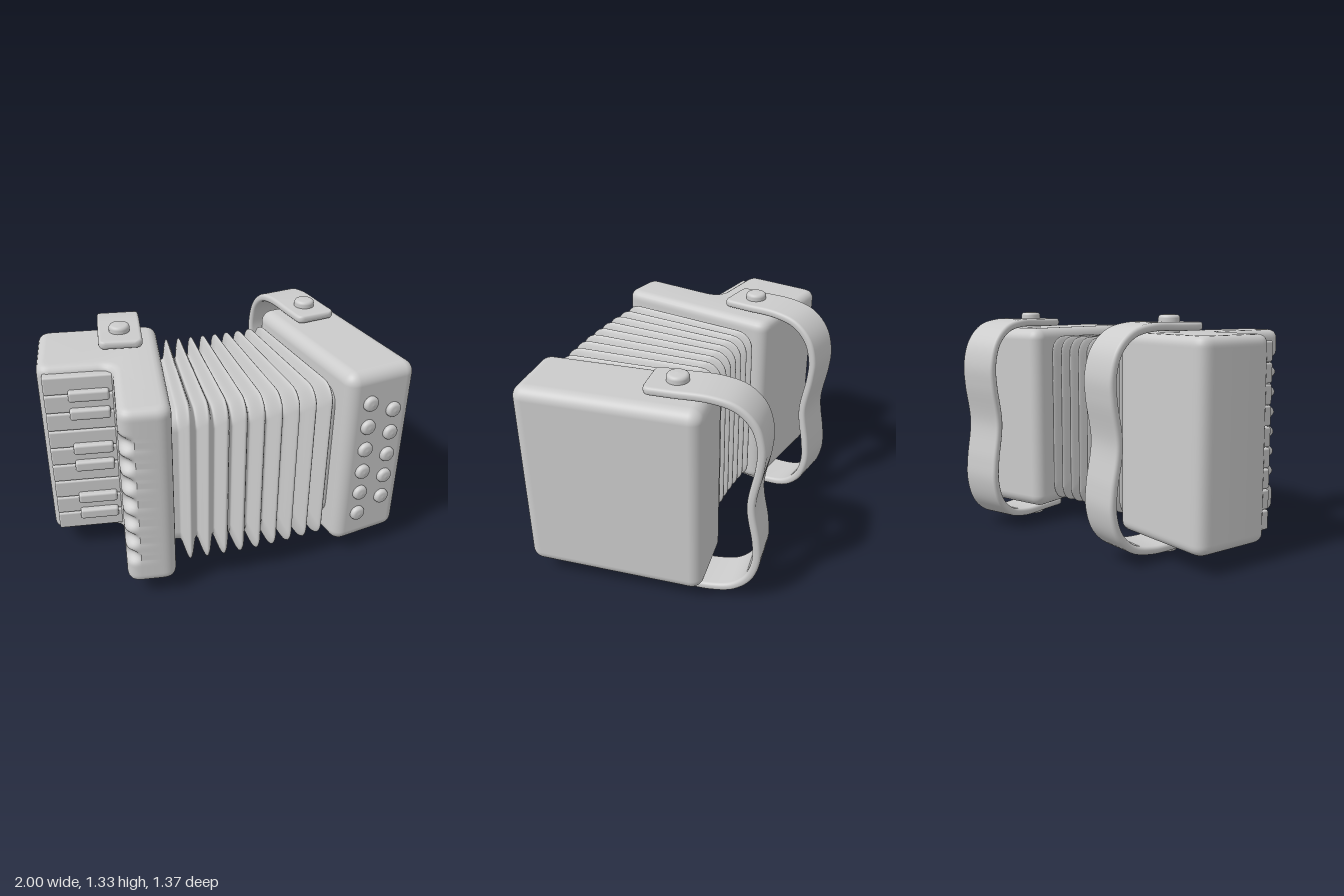
import * as THREE from 'three';
import { toCreasedNormals } from 'three/addons/utils/BufferGeometryUtils.js';
import { RoundedBoxGeometry } from 'three/addons/geometries/RoundedBoxGeometry.js';

const MID_Y = 0.667;
const material = new THREE.MeshStandardMaterial({ color: 0xcccccc });

function add(parent, name, geometry, x = 0, y = 0, z = 0) {
  const mesh = new THREE.Mesh(geometry, material);
  mesh.name = name;
  mesh.position.set(x, y, z);
  parent.add(mesh);
  return mesh;
}

function addGroup(parent, name, x, z, turn) {
  const group = new THREE.Group();
  group.name = name;
  group.position.set(x, 0, z);
  group.rotation.y = turn;
  parent.add(group);
  return group;
}

// Counter-clockwise rounded rectangle as [u, v] pairs
function roundedRect(hu, hv, radius, steps = 6) {
  const r = Math.min(radius, hu, hv), points = [];
  const corners = [[1, 1], [-1, 1], [-1, -1], [1, -1]];
  corners.forEach(([su, sv], k) => {
    for (let i = 0; i <= steps; i++) {
      const a = (k + i / steps) * Math.PI / 2;
      points.push([su * (hu - r) + r * Math.cos(a), sv * (hv - r) + r * Math.sin(a)]);
    }
  });
  return points;
}

// Skin over closed rings of equal length
function loft(rings) {
  const n = rings[0].length, index = [];
  for (let i = 0; i < rings.length - 1; i++) {
    for (let j = 0; j < n; j++) {
      const a = i * n + j, b = i * n + (j + 1) % n;
      index.push(a, b, a + n, b, b + n, a + n);
    }
  }
  const geometry = new THREE.BufferGeometry().setFromPoints(rings.flat());
  geometry.setIndex(index);
  geometry.computeVertexNormals();
  return geometry;
}

// Pleated bellows, fanned around a far point behind the instrument
function bellowsGeometry() {
  const pitch = 0.0294, rings = [];
  for (let k = -5.3; k <= 5.301; k += 0.05) {
    const phi = k * pitch;
    const drop = Math.abs(k) > 4.5 ? 0.085 : 0.0425 * (1 - Math.cos(2 * Math.PI * k));
    rings.push(roundedRect(0.52 - drop, 0.455 - drop, 0.1).map(([u, v]) => {
      const r = 2.935 + v;
      return new THREE.Vector3(0.08 + r * Math.sin(phi), MID_Y + u, -2.73 + r * Math.cos(phi));
    }));
  }
  return loft(rings);
}

// Hand strap: rounded band swept over the back of a case
function strapGeometry() {
  const half = [[0.155, 1.267], [0, 1.267], [-0.2, 1.267], [-0.33, 1.235],
    [-0.42, 1.15], [-0.46, 1.02], [-0.455, 0.9]];
  const path = [...half, [-0.42, MID_Y], ...half.map(([z, y]) => [z, 2 * MID_Y - y]).reverse()];
  const curve = new THREE.CatmullRomCurve3(path.map(([z, y]) => new THREE.Vector3(0, y, z)));
  curve.arcLengthDivisions = 600;
  const length = curve.getLength(), xAxis = new THREE.Vector3(1, 0, 0);
  const ends = [0, 0.003, 0.008, 0.015, 0.025, 0.04];
  const stops = [...ends];
  for (let i = 1; i < 90; i++) stops.push(0.04 + (length - 0.08) * i / 90);
  stops.push(...ends.map(e => length - e).reverse());
  const inset = (e, r) => e < r ? r - Math.sqrt(r * r - (r - e) ** 2) : 0;
  const ring = (s, hu, hv) => {
    const t = Math.min(1, Math.max(0, s / length));
    const p = curve.getPointAt(t);
    const normal = curve.getTangentAt(t).cross(xAxis);
    return roundedRect(hu, hv, 0.018, 4).map(([u, v]) =>
      p.clone().addScaledVector(xAxis, u).addScaledVector(normal, v));
  };
  const rings = stops.map(s => {
    const e = Math.max(0, Math.min(s, length - s));
    return ring(s, 0.125 - inset(e, 0.04), 0.023 - inset(e, 0.015));
  });
  return loft([ring(0, 0, 0), ...rings, ring(length, 0, 0)]);
}

// Domed round button standing on y = 0
function domeGeometry(radius, height, round) {
  const points = [new THREE.Vector2(radius, 0)];
  for (let i = 0; i <= 6; i++) {
    const a = i / 6 * Math.PI / 2;
    points.push(new THREE.Vector2(radius - round + round * Math.cos(a), height - round + round * Math.sin(a)));
  }
  points.push(new THREE.Vector2(0, height + 0.003));
  return new THREE.LatheGeometry(points, 28);
}

// L-shaped case: upright body plus keyboard block, with a scalloped front corner
function keyboardCaseGeometry() {
  const bevel = 0.05, height = 1.125, bottom = 0.108, r = 0.08;
  const outline = [[-0.525, 0.015], [-0.11, 0.015], [-0.11, -0.515], [0.167, -0.515], [0.167, 0.51], [-0.525, 0.51]]
    .map(([x, y]) => new THREE.Vector2(x, y));
  const shape = new THREE.Shape();
  outline.forEach((p, i) => {
    const toward = q => q.clone().sub(p).setLength(r).add(p);
    const a = toward(outline[(i + 5) % 6]), b = toward(outline[(i + 1) % 6]);
    if (i === 0) shape.moveTo(a.x, a.y); else shape.lineTo(a.x, a.y);
    shape.quadraticCurveTo(p.x, p.y, b.x, b.y);
  });
  shape.closePath();
  const geometry = new THREE.ExtrudeGeometry(shape, {
    depth: height - 2 * bevel, steps: 90, curveSegments: 8,
    bevelThickness: bevel, bevelSize: bevel, bevelOffset: -bevel, bevelSegments: 5,
  });
  geometry.rotateX(-Math.PI / 2).translate(0, bottom + bevel, 0);
  const pos = geometry.attributes.position;
  for (let i = 0; i < pos.count; i++) {
    const x = pos.getX(i), y = pos.getY(i), z = pos.getZ(i);
    const fromCorner = (x + 0.11) + (0.515 - z);
    if (z < 0.4 || fromCorner > r || y < 0.24 || y > 1.1) continue;
    const weight = Math.min(1, (r - fromCorner) / 0.04);
    const push = 0.028 * weight * (0.5 + 0.5 * Math.cos(2 * Math.PI * (y - 0.3) / 0.123));
    pos.setXYZ(i, x + push, y, z - push);
  }
  return toCreasedNormals(geometry, 0.7);
}

export function createModel() {
  const model = new THREE.Group();
  model.name = 'accordion';
  add(model, 'bellows', bellowsGeometry());

  // Keyboard side
  const keySide = addGroup(model, 'keyboardSide', -0.5, 0.15, -0.157);
  add(keySide, 'keyboardCase', keyboardCaseGeometry());
  const pitch = 0.115, white = new RoundedBoxGeometry(0.385, pitch - 0.004, 0.08, 3, 0.012);
  const black = new RoundedBoxGeometry(0.225, 0.065, 0.1, 3, 0.015);
  for (let i = 0; i < 9; i++) {
    const y = 0.163 + pitch * i;
    add(keySide, 'whiteKey', white, -0.3, y + pitch / 2, -0.01);
    if (i % 3 !== 0) add(keySide, 'blackKey', black, -0.247, y, 0.015);
  }
  for (let i = 1; i <= 2; i++) keySide.children.at(-i).updateMatrix();

  // Button side
  const buttonSide = addGroup(model, 'buttonSide', 0.71, 0.128, 0.146);
  add(buttonSide, 'buttonCase', new RoundedBoxGeometry(0.44, 1.135, 1.02, 5, 0.07), 0, MID_Y, 0);
  const button = domeGeometry(0.045, 0.05, 0.02).rotateX(Math.PI / 2);
  for (let i = 0; i < 11; i++) {
    add(buttonSide, 'bassButton', button, i % 2 ? 0.08 : -0.08, 0.3 + 0.075 * i, 0.49);
  }

  // Hand straps, each pinned above and below
  const strap = strapGeometry(), pin = domeGeometry(0.06, 0.115, 0.02);
  for (const [x, z, turn] of [[-0.5, -0.175, -0.157], [0.66, -0.197, 0.146]]) {
    const group = addGroup(model, 'handStrap', x, z, turn);
    add(group, 'strapBand', strap);
    add(group, 'topPin', pin, 0, 1.215, 0);
    add(group, 'bottomPin', pin, 0, 2 * MID_Y - 1.215, 0).rotation.x = Math.PI;
  }
  return model;
}
